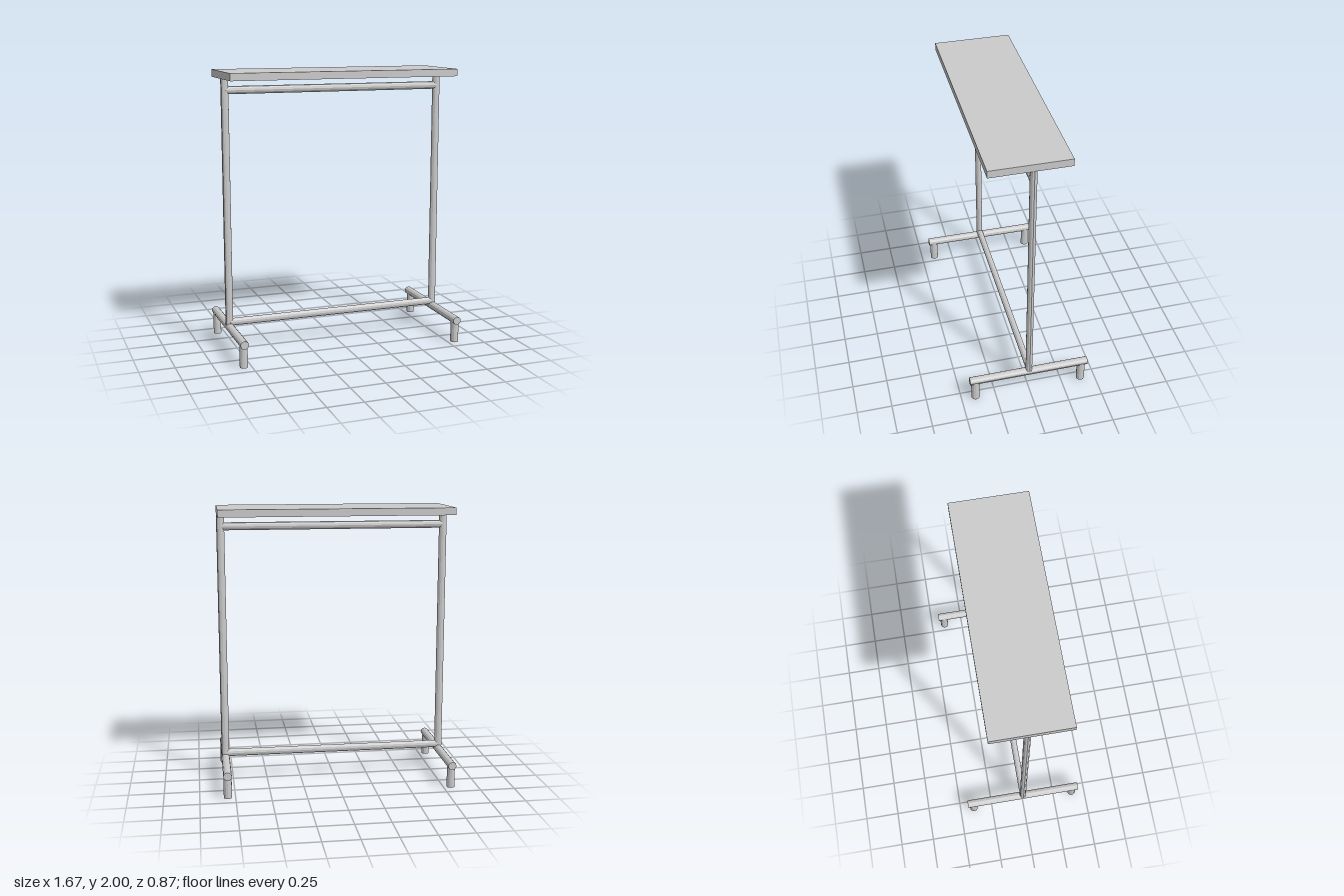
import * as THREE from 'three';

const material = new THREE.MeshStandardMaterial({ color: 0xcccccc, flatShading: true });

export function createModel() {
  const group = new THREE.Group();

  const add = (name, geometry, x, y, z) => {
    const mesh = new THREE.Mesh(geometry, material);
    mesh.name = name;
    mesh.position.set(x, y, z);
    group.add(mesh);
  };

  // Straight tube with its own half widths, laid along one axis
  const tube = (axis, length, a, b) => {
    const g = new THREE.CylinderGeometry(1, 1, length, 12);
    g.scale(a, 1, b);
    if (axis === 'x') g.rotateZ(Math.PI / 2);
    if (axis === 'z') g.rotateX(Math.PI / 2);
    return g;
  };

  // Top shelf, set slightly towards the front
  add('shelf', new THREE.BoxGeometry(1.663, 0.052, 0.55), -0.004, 1.974, 0.023);

  // Side frames: upright, foot bar and two short legs
  for (const [side, s] of [['left', 1], ['right', -1]]) {
    const x = s * 0.804;
    add(side + 'Upright', tube('y', 1.775, 0.028, 0.024), x, 1.0625, 0);
    add(side + 'FootBar', tube('z', 0.874, 0.03, 0.029), x, 0.168, 0);
    add(side + 'FrontLeg', tube('y', 0.165, 0.029, 0.03), x, 0.0825, 0.397);
    add(side + 'BackLeg', tube('y', 0.165, 0.029, 0.03), x, 0.0825, -0.394);
  }

  // Rails joining the side frames
  add('hangingRail', tube('x', 1.6, 0.028, 0.024), 0, 1.868, 0);
  add('lowerRail', tube('x', 1.6, 0.028, 0.024), 0, 0.203, 0);

  return group;
}
